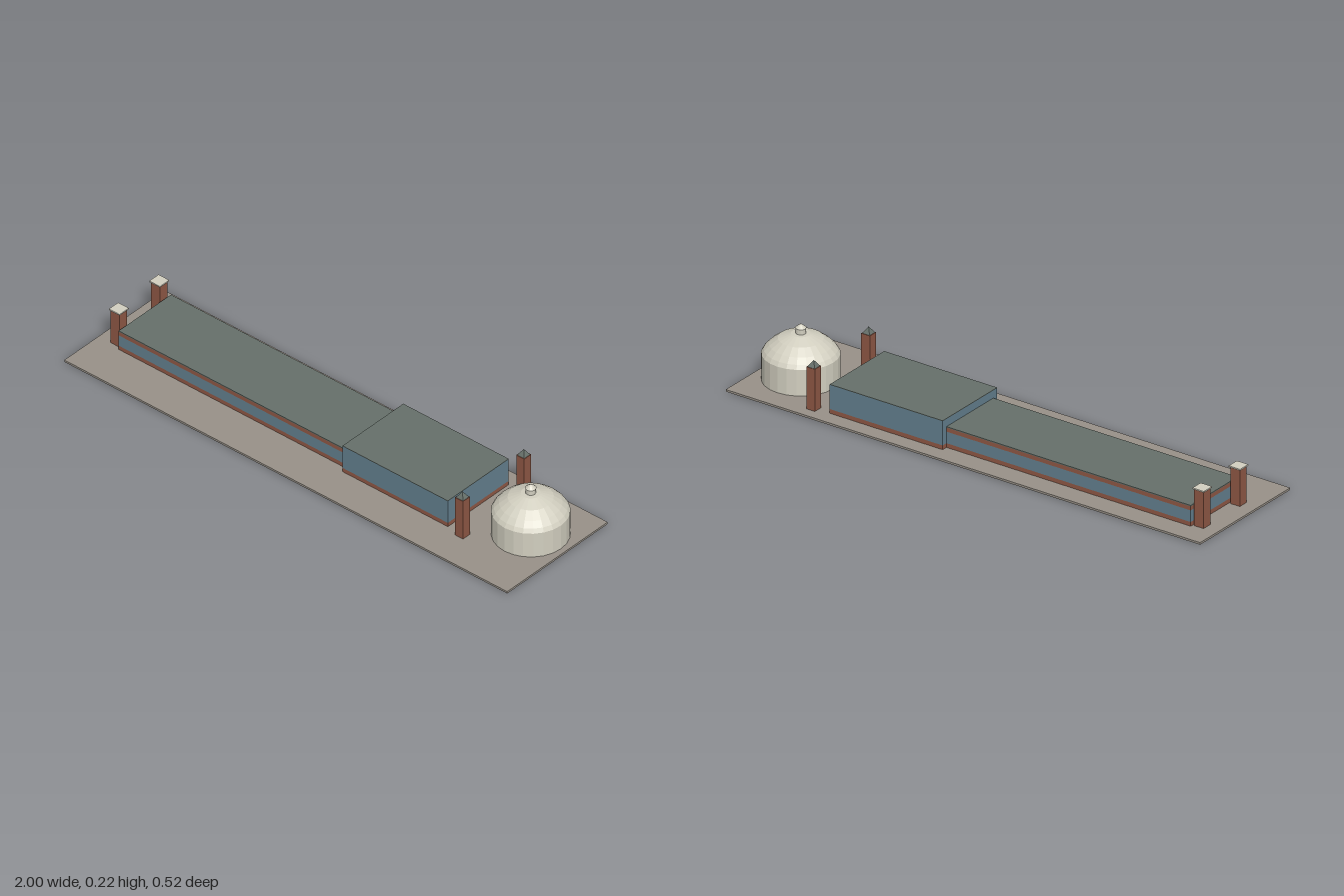
import * as THREE from 'three';

const mat = (name, color) => {
  const m = new THREE.MeshStandardMaterial({ color });
  m.name = name;
  return m;
};

export function createModel() {
  const group = new THREE.Group();
  const paving = mat('paving', 0x989188);
  const brick = mat('brick', 0x8f5845);
  const glass = mat('glass', 0x64808f);
  const roof = mat('roof', 0x66706a);
  const stone = mat('stone', 0xd2cfc0);
  const axisZ = -0.042; // centre line of the buildings

  const add = (name, geometry, material, x = 0, y = 0, z = 0) => {
    const mesh = new THREE.Mesh(geometry, material);
    mesh.name = name;
    mesh.position.set(x, y, z);
    group.add(mesh);
    return mesh;
  };
  // box spanning x0..x1 and y0..y1, centred on z
  const block = (name, material, x0, x1, y0, y1, z, depth) =>
    add(name, new THREE.BoxGeometry(x1 - x0, y1 - y0, depth), material, (x0 + x1) / 2, (y0 + y1) / 2, z);

  block('base', paving, -1, 1, 0, 0.008, 0, 0.522);

  // long low hall: plinth, window strip, parapet, roof
  const hall = [
    ['hallPlinth', brick, 0.008, 0.024],
    ['hallWindows', glass, 0.024, 0.068],
    ['hallParapet', brick, 0.068, 0.083],
    ['hallRoof', roof, 0.083, 0.087],
  ];
  for (const [name, m, y0, y1] of hall) block(name, m, -0.9, 0.13, y0, y1, axisZ, 0.272);

  // taller block at the end of the hall
  const tall = [
    ['tallPlinth', brick, 0.008, 0.024],
    ['tallWalls', glass, 0.024, 0.116],
    ['tallRoof', roof, 0.116, 0.118],
  ];
  for (const [name, m, y0, y1] of tall) block(name, m, 0.13, 0.606, y0, y1, axisZ, 0.316);

  // paired towers at both ends
  for (const side of [-1, 1]) {
    const zc = axisZ + side * 0.105;
    block('gatePillar', brick, -0.946, -0.906, 0.008, 0.147, zc, 0.04);
    block('gatePillarCap', stone, -0.95, -0.902, 0.147, 0.152, zc, 0.048);

    const zt = axisZ + side * 0.159;
    block('tower', brick, 0.655, 0.691, 0.008, 0.168, zt, 0.036);
    const spire = new THREE.ConeGeometry(0.0226, 0.024, 4).toNonIndexed();
    spire.rotateY(Math.PI / 4);
    spire.computeVertexNormals();
    add('towerSpire', spire, roof, 0.673, 0.18, zt);
  }

  // faceted round building: drum, dome, lantern and its cap
  const lathe = (name, points, segments) => {
    const g = new THREE.LatheGeometry(points.map(([r, y]) => new THREE.Vector2(r, y)), segments).toNonIndexed();
    g.computeVertexNormals();
    return add(name, g, stone, 0.843, 0, axisZ);
  };
  lathe('drum', [[0.136, 0.008], [0.136, 0.107]], 24);
  lathe('dome', [[0.136, 0.107], [0.127, 0.122], [0.109, 0.141], [0.079, 0.164], [0.034, 0.181], [0, 0.183]], 24);
  lathe('lantern', [[0.018, 0.178], [0.018, 0.203]], 12);
  lathe('lanternCap', [[0, 0.202], [0.02, 0.202], [0, 0.218]], 12);

  return group;
}
